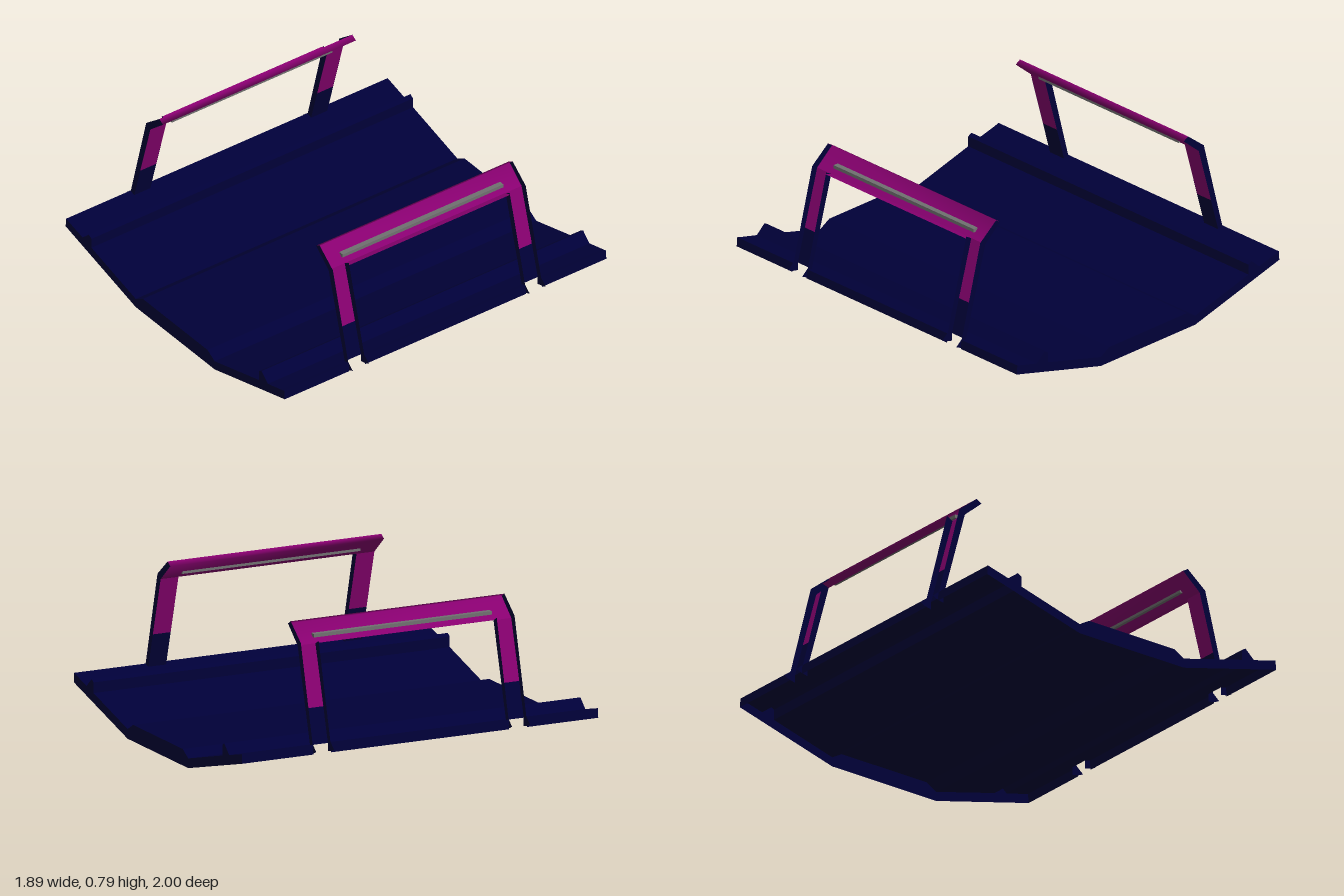
import * as THREE from 'three';

function makeMaterial(name, color) {
  const material = new THREE.MeshStandardMaterial({ color, side: THREE.DoubleSide });
  material.name = name;
  return material;
}
const navy = makeMaterial('navy', 0x000038);
const magenta = makeMaterial('magenta', 0x880070);
const grey = makeMaterial('grey', 0x707070);

// Profiles in the x-y plane for the +x half
const deckInner = [[0, 0.085], [0.27, 0.085], [0.33, 0.05], [0.7, 0.15], [0.7, 0.205], [0.722, 0.218], [0.775, 0.17], [0.88, 0.197]];
const rim = [[0.88, 0.197], [0.912, 0.206], [0.916, 0.157]];
const legLower = [[0.88, 0.197], [0.831, 0.375]];
const legUpper = [[0.831, 0.375], [0.745, 0.68]];
const topBar = [[0.745, 0.68], [0.64, 0.77], [0.67, 0.788]];
const barLip = [[0.745, 0.68], [0.785, 0.692]];
const legCap = [[0.88, 0.197], [0.745, 0.68], [0.78, 0.7], [0.908, 0.21], [0.947, 0.177], [0.92, 0.164], [0.88, 0.155]];
const barCap = [[0.745, 0.68], [0.64, 0.77], [0.67, 0.788], [0.78, 0.7]];

const flip = (points, side) => points.map(([x, y]) => [x * side, y]);

// Thin sheet: a profile swept along z, creased or smooth across its folds
function sheet(name, points, z0, z1, material, smooth = false) {
  const index = [];
  for (let i = 0; i < points.length - 1; i++) {
    const a = i * 2;
    index.push(a, a + 1, a + 3, a, a + 3, a + 2);
  }
  const pos = points.flatMap(([x, y]) => [x, y, z0, x, y, z1]);
  let geometry = new THREE.BufferGeometry();
  geometry.setAttribute('position', new THREE.Float32BufferAttribute(pos, 3));
  geometry.setIndex(index);
  if (!smooth) geometry = geometry.toNonIndexed();
  geometry.computeVertexNormals();
  const mesh = new THREE.Mesh(geometry, material);
  mesh.name = name;
  return mesh;
}

// Flat end face at z, looking along +z or -z
function cap(name, points, z, dir) {
  const shape = new THREE.Shape(points.map(([x, y]) => new THREE.Vector2(x * dir, y)));
  const mesh = new THREE.Mesh(new THREE.ShapeGeometry(shape), navy);
  mesh.rotation.y = dir < 0 ? Math.PI : 0;
  mesh.position.z = z;
  mesh.name = name;
  return mesh;
}

function createHandle(side) {
  const handle = new THREE.Group();
  handle.name = side > 0 ? 'leftHandle' : 'rightHandle';
  for (const dir of [1, -1]) {
    handle.add(
      sheet('lowerLeg', flip(legLower, side), 0.5 * dir, 0.6 * dir, navy),
      sheet('upperLeg', flip(legUpper, side), 0.5 * dir, 0.6 * dir, magenta),
      cap('legOuterFace', flip(legCap, side), 0.6 * dir, dir),
      cap('legInnerFace', flip(legCap, side), 0.5 * dir, -dir),
      cap('barEnd', flip(barCap, side), 0.6 * dir, dir)
    );
  }
  handle.add(
    sheet('topBar', flip(topBar, side), -0.6, 0.6, magenta, true),
    sheet('barLip', flip(barLip, side), -0.5, 0.5, magenta)
  );
  // Grey strip lying level in the sloping bar
  const strip = new THREE.Mesh(new THREE.BoxGeometry(0.028, 0.018, 1), grey);
  strip.position.set(0.714 * side, 0.714, 0);
  strip.name = 'barStrip';
  handle.add(strip);
  return handle;
}

function createDeck() {
  const deck = new THREE.Group();
  deck.name = 'deck';
  for (const side of [1, -1]) {
    deck.add(sheet('deckPanel', flip(deckInner, side), -1, 1, navy));
    // Rim is interrupted by a notch at each handle leg
    for (const [z0, z1] of [[-1, -0.6], [-0.5, 0.5], [0.6, 1]]) {
      deck.add(sheet('rim', flip(rim, side), z0, z1, navy));
    }
  }
  // Full-thickness end faces
  const half = [...deckInner.slice(1), ...rim.slice(1), [0.33, 0]];
  const outline = [...half, ...flip(half, -1).reverse()];
  deck.add(cap('frontEnd', outline, 1, 1), cap('backEnd', outline, -1, -1));
  return deck;
}

export function createModel() {
  const model = new THREE.Group();
  model.name = 'deckWithHandles';
  model.add(createDeck(), createHandle(1), createHandle(-1));
  return model;
}
